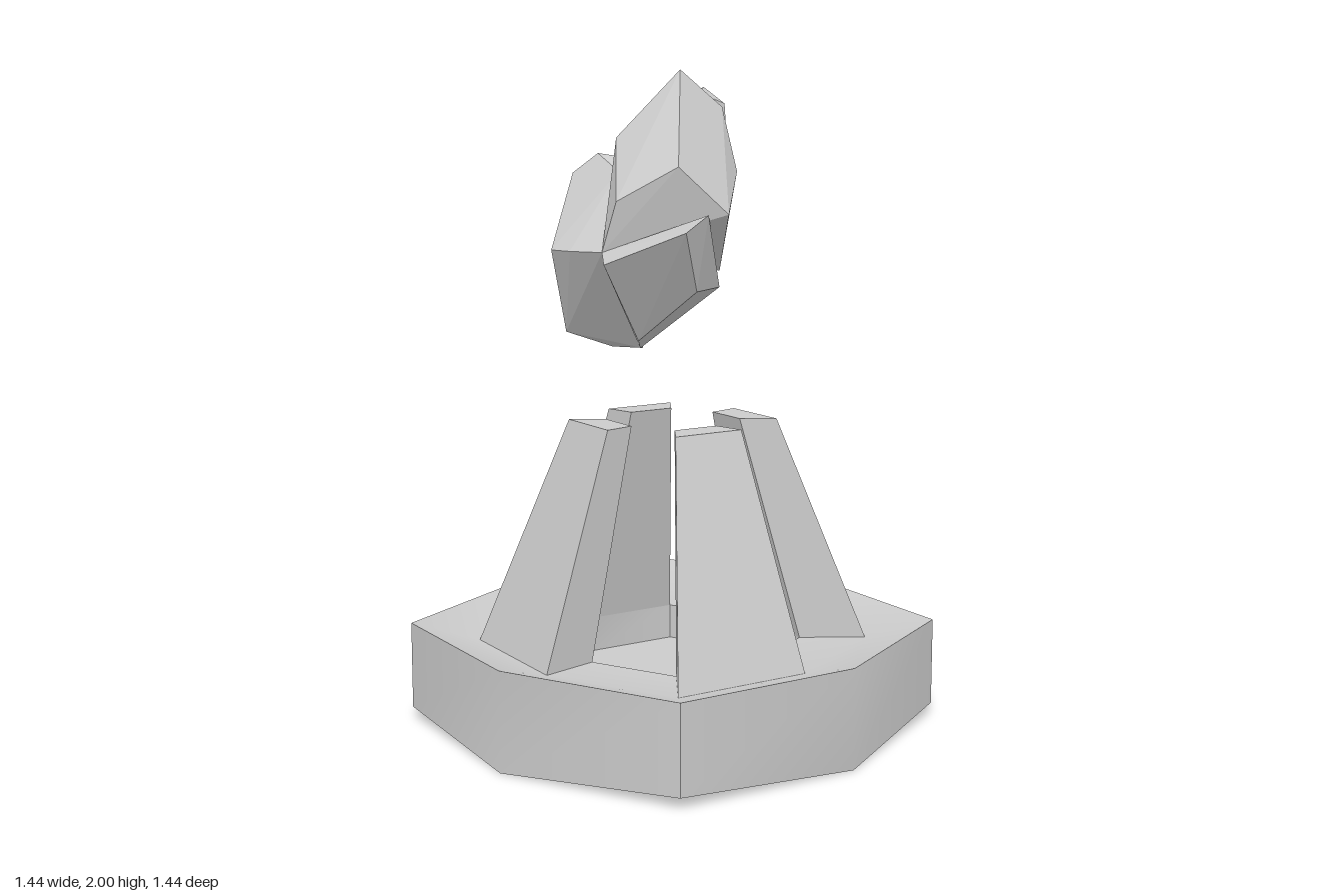
import * as THREE from 'three';
import { toCreasedNormals } from 'three/addons/utils/BufferGeometryUtils.js';
import { ConvexGeometry } from 'three/addons/geometries/ConvexGeometry.js';

const flat = new THREE.MeshStandardMaterial({ color: 0xcccccc, flatShading: true });
const shell = new THREE.MeshStandardMaterial({ color: 0xcccccc, side: THREE.DoubleSide });

// Corner k of an uneven octagon: axis corners at radius a, diagonal corners at (d, d)
function corner(k, a, d, yAxis, yDiag = yAxis) {
  const angle = k * Math.PI / 4;
  const diagonal = k % 2 === 1;
  const r = diagonal ? d * Math.SQRT2 : a;
  return new THREE.Vector3(r * Math.cos(angle), diagonal ? yDiag : yAxis, -r * Math.sin(angle));
}

// Convex solid wrapped around its corners
function hull(points) {
  return new ConvexGeometry(points.map(p => (p.isVector3 ? p : new THREE.Vector3(...p))));
}

// Open-bottomed plinth with a sloping rim and a sunken well
function plinthGeometry() {
  const rings = [
    [0.72, 0.575, 0, 0.035],
    [0.72, 0.575, 0.305],
    [0.535, 0.425, 0.25],
    [0.35, 0.28, 0.25],
    [0.35, 0.28, 0.14],
    [0, 0, 0.14],
  ];
  const pos = [];
  const tri = (...corners) => corners.forEach(v => pos.push(v.x, v.y, v.z));
  for (let i = 0; i < rings.length - 1; i++) {
    for (let k = 0; k < 8; k++) {
      const a = corner(k, ...rings[i]);
      const b = corner(k + 1, ...rings[i]);
      const c = corner(k, ...rings[i + 1]);
      const d = corner(k + 1, ...rings[i + 1]);
      tri(a, b, d);
      if (i < rings.length - 2) tri(a, d, c);
    }
  }
  const geo = new THREE.BufferGeometry();
  geo.setAttribute('position', new THREE.Float32BufferAttribute(pos, 3));
  geo.computeVertexNormals();
  return toCreasedNormals(geo, 0.53);
}

// One leaning prong: an eighth of the ring, tapering upwards
function prongGeometry() {
  const points = [];
  for (const k of [1, 2]) {
    points.push(
      corner(k, 0.535, 0.425, 0.25), corner(k, 0.35, 0.28, 0.25),
      corner(k, 0.28, 0.225, 0.945), corner(k, 0.18, 0.145, 0.945),
    );
  }
  return hull(points);
}

// Intersecting shards of the floating crystal
const shards = {
  tallShard: [
    [0.03, 2, 0], [-0.1, 1.8, 0.14], [0.03, 1.62, 0.27], [0.17, 1.72, 0.155],
    [0.09, 1.89, -0.12], [0.16, 1.7, -0.11], [0.245, 1.58, 0.02],
    [-0.02, 1.47, 0.28], [0.1, 1.4, -0.1],
  ],
  backShard: [
    [-0.01, 1.95, -0.145], [0.035, 1.93, -0.08], [-0.17, 1.79, -0.045], [-0.155, 1.74, 0.05],
    [0.05, 1.9, -0.175], [-0.05, 1.67, -0.215], [-0.28, 1.5, -0.135],
    [0.09, 1.6, -0.16], [-0.05, 1.36, -0.11],
  ],
  leftwardShard: [
    [-0.43, 1.43, 0.03], [-0.31, 1.69, 0.12], [-0.24, 1.75, 0.08], [-0.15, 1.74, 0.06],
    [-0.09, 1.7, 0.14], [-0.2, 1.47, 0.315], [-0.12, 1.47, 0.315], [-0.02, 1.47, 0.28],
    [-0.26, 1.21, 0.2], [-0.18, 1.16, 0.08], [-0.09, 1.16, 0.04], [-0.29, 1.5, -0.08],
    [-0.12, 1.36, -0.1],
  ],
  lowShard: [
    [0.12, 1.45, 0.41], [0.29, 1.54, 0.25], [0.22, 1.58, 0.08], [-0.02, 1.47, 0.28],
    [0.22, 1.36, 0.13], [0.06, 1.21, 0.21], [-0.09, 1.16, 0.05], [0.1, 1.35, -0.1],
    [-0.09, 1.36, -0.1],
  ],
};

export function createModel() {
  const model = new THREE.Group();
  model.name = 'crystalPedestal';
  const add = (name, geometry, material, parent = model) => {
    const mesh = new THREE.Mesh(geometry, material);
    mesh.name = name;
    parent.add(mesh);
    return mesh;
  };

  add('plinth', plinthGeometry(), shell);

  // Four prongs around the well
  const prong = prongGeometry();
  for (let i = 0; i < 4; i++) add(`prong${i + 1}`, prong, flat).rotation.y = i * Math.PI / 2;

  // Floating crystal cluster
  const crystal = new THREE.Group();
  crystal.name = 'crystal';
  model.add(crystal);
  for (const [name, points] of Object.entries(shards)) add(name, hull(points), flat, crystal);

  return model;
}
